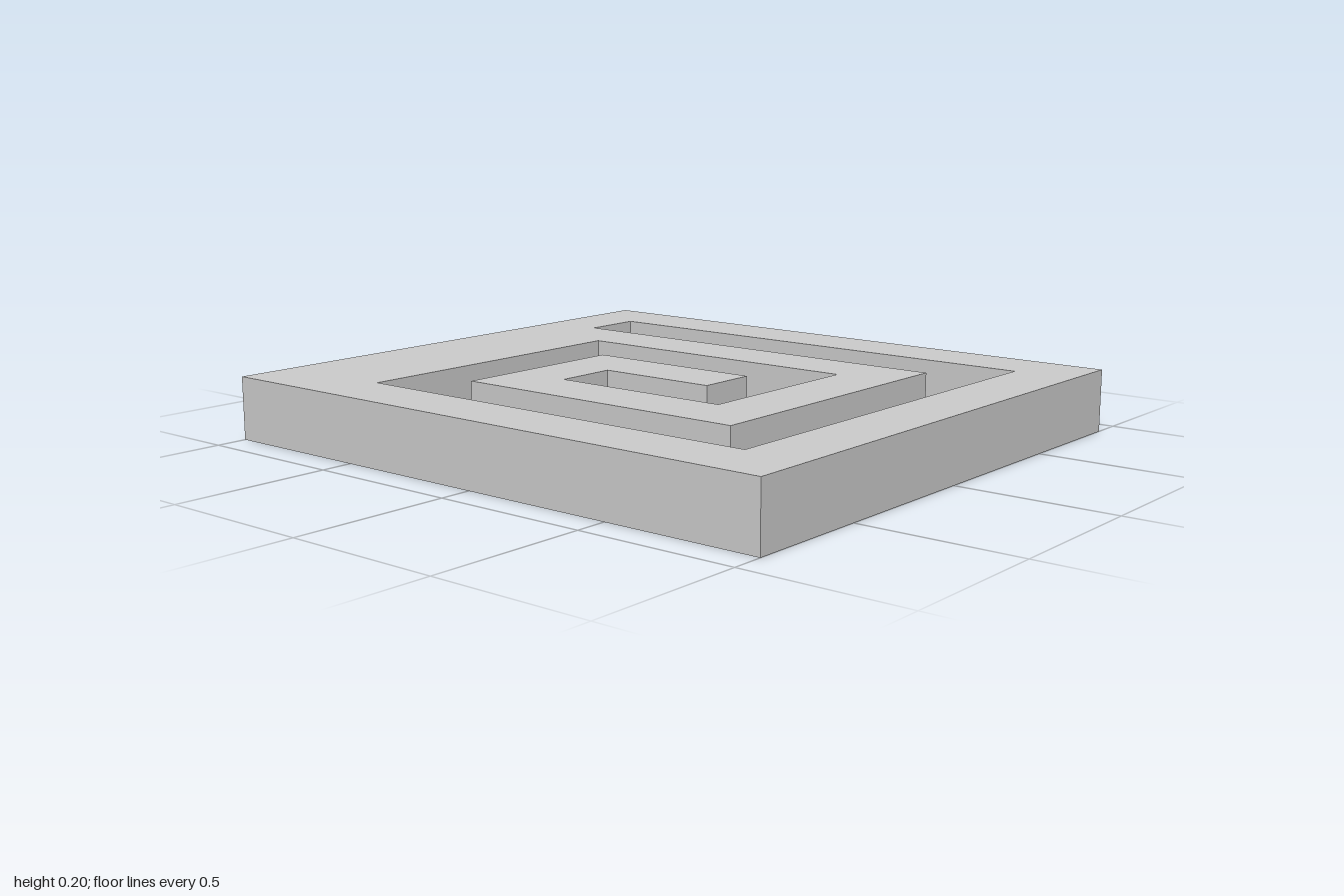
import * as THREE from 'three';

const HEIGHT = 0.2;

// Outlines as [x, z] corners; each wall faces left-to-right outward from the solid.
const OUTER = [[-0.9, 1], [0.9, 1], [0.9, -1], [-0.9, -1]];
const GROOVE = [
  [0.5, -0.8], [0.7, -0.8], [0.7, 0.8], [-0.7, 0.8],
  [-0.7, -0.6], [0.3, -0.6], [0.3, 0.4], [-0.3, 0.4],
  [-0.3, -0.2], [-0.1, -0.2], [-0.1, 0.2], [0.1, 0.2],
  [0.1, -0.4], [-0.5, -0.4], [-0.5, 0.6], [0.5, 0.6],
];

const toPoints = (outline) => outline.map(([x, z]) => new THREE.Vector2(x, -z));

// Flat horizontal sheet at height y
function sheet(outline, y, hole) {
  const shape = new THREE.Shape(toPoints(outline));
  if (hole) shape.holes.push(new THREE.Path(toPoints(hole)));
  return new THREE.ShapeGeometry(shape).rotateX(-Math.PI / 2).translate(0, y, 0);
}

// Upright band that follows a closed outline from the base to the top
function band(outline) {
  const positions = [];
  outline.forEach(([ax, az], i) => {
    const [bx, bz] = outline[(i + 1) % outline.length];
    positions.push(ax, 0, az, bx, 0, bz, bx, HEIGHT, bz);
    positions.push(ax, 0, az, bx, HEIGHT, bz, ax, HEIGHT, az);
  });
  const geometry = new THREE.BufferGeometry();
  geometry.setAttribute('position', new THREE.Float32BufferAttribute(positions, 3));
  geometry.computeVertexNormals();
  return geometry;
}

export function createModel() {
  const group = new THREE.Group();
  group.name = 'spiralGroovePlate';
  const material = new THREE.MeshStandardMaterial({
    color: 0xcccccc, flatShading: true, side: THREE.DoubleSide,
  });
  const add = (name, geometry) => {
    const mesh = new THREE.Mesh(geometry, material);
    mesh.name = name;
    group.add(mesh);
  };

  // Open-bottomed shell: top, rim, and the sunken spiral channel
  add('topPlate', sheet(OUTER, HEIGHT, GROOVE));
  add('outerWalls', band(OUTER));
  add('grooveWalls', band(GROOVE));
  add('grooveFloor', sheet(GROOVE, 0));
  return group;
}
